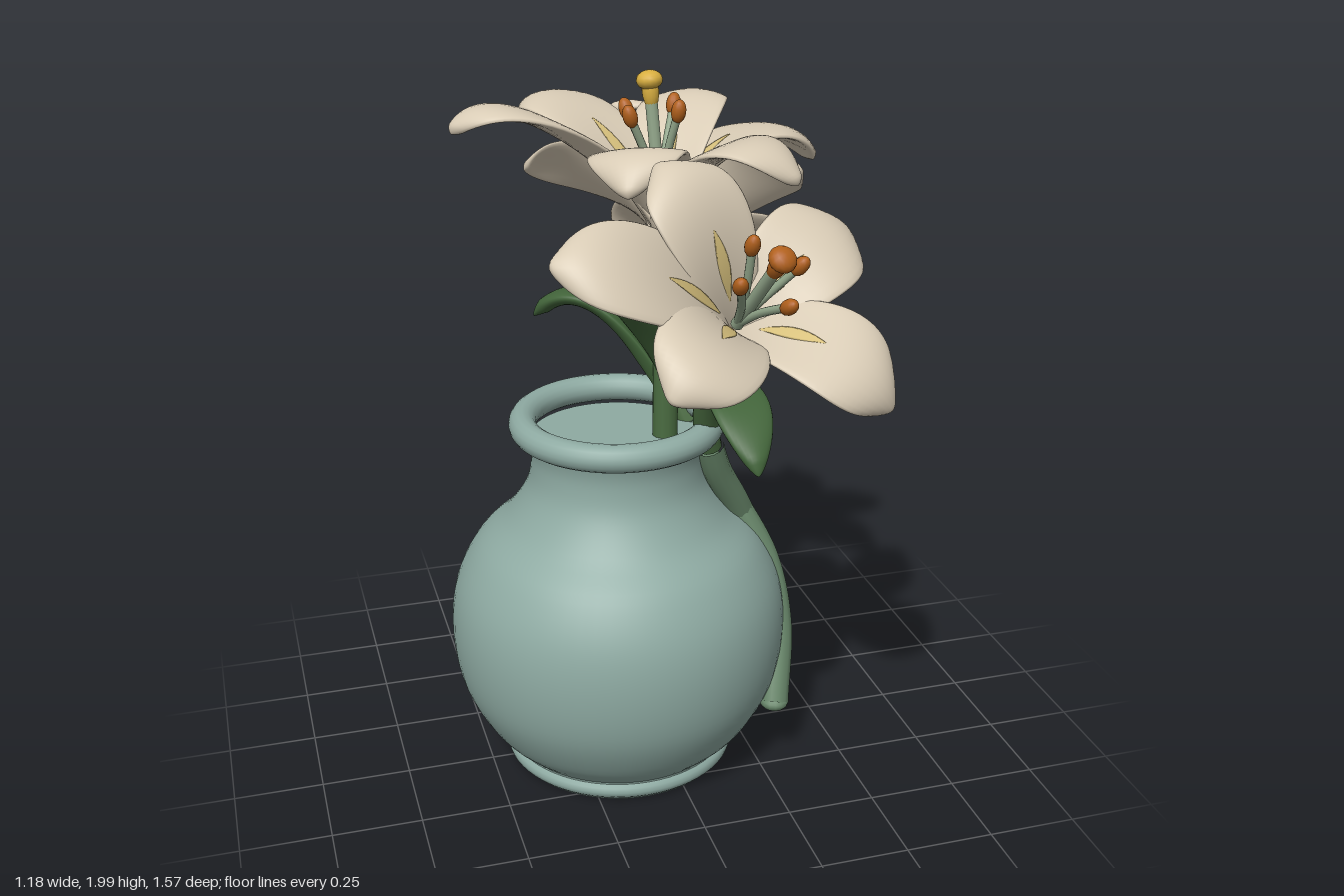
import * as THREE from 'three';

const V = (x, y, z) => new THREE.Vector3(x, y, z);
const mat = (name, color, side = THREE.FrontSide) => {
  const m = new THREE.MeshStandardMaterial({ color, side });
  m.name = name;
  return m;
};

// Lofts a thin curved blade along a curve; width(t) is its half width, cup(t) lifts its edges.
function bladeGeometry(curve, across, { width, cup, thick, t0 = 0, t1 = 1, lift = 0, rows = 32, cols = 12 }) {
  const pos = [], index = [], ring = cols * 2;
  for (let i = 0; i <= rows; i++) {
    // rows crowd towards the tip so that it stays round
    const t = t0 + (t1 - t0) * Math.sin(Math.PI / 2 * i / rows);
    const p = curve.getPoint(t), normal = curve.getTangent(t).cross(across).normalize();
    const w = width(t);
    for (let j = 0; j < ring; j++) {
      const top = j < cols;
      const u = -Math.cos(Math.PI * j / cols);
      const h = cup(t) * u * u + lift + (top ? 1 : -1) * thick * Math.sqrt(1 - u * u) * Math.min(1, w / 0.03);
      pos.push(...p.clone().addScaledVector(across, u * w).addScaledVector(normal, h).toArray());
      if (i < rows) {
        const a = i * ring + j, b = i * ring + (j + 1) % ring;
        index.push(a, a + ring, b, b, a + ring, b + ring);
      }
    }
  }
  const g = new THREE.BufferGeometry();
  g.setAttribute('position', new THREE.Float32BufferAttribute(pos, 3));
  g.setIndex(index);
  g.computeVertexNormals();
  return g;
}

export function createModel() {
  const model = new THREE.Group();
  const glaze = mat('vase glaze', 0x8eaaa2);
  const green = mat('stem green', 0x48693f);
  const paleStem = mat('pale stem green', 0x668468);
  const leafGreen = mat('leaf green', 0x42643a, THREE.DoubleSide);
  const cream = mat('petal cream', 0xd8cbb5, THREE.DoubleSide);
  const streak = mat('petal streak yellow', 0xd9c27e, THREE.DoubleSide);
  const filament = mat('filament green', 0x94a88c);
  const rust = mat('anther orange', 0xb0601c);
  const yellow = mat('stigma yellow', 0xd9af40);

  const add = (parent, name, geometry, material) => {
    const mesh = new THREE.Mesh(geometry, material);
    mesh.name = name;
    parent.add(mesh);
    return mesh;
  };
  const ball = (parent, name, p, dir, r, len, material) => {
    const m = add(parent, name, new THREE.SphereGeometry(1, 14, 10), material);
    m.scale.set(r, len, r);
    m.position.copy(p);
    m.quaternion.setFromUnitVectors(V(0, 1, 0), dir);
  };
  const tube = (parent, name, pts, r, material) =>
    add(parent, name, new THREE.TubeGeometry(new THREE.CatmullRomCurve3(pts), 40, r, 12), material);

  // Vase: round body, short neck, rolled rim and a shallow inside
  const vase = new THREE.Group();
  vase.name = 'vase';
  vase.position.x = -0.112;
  model.add(vase);
  const bodyLine = new THREE.SplineCurve([
    [0.325, 0.065], [0.395, 0.14], [0.46, 0.27], [0.482, 0.42], [0.465, 0.56], [0.405, 0.68],
    [0.315, 0.77], [0.258, 0.86], [0.241, 0.94], [0.248, 1.0], [0.265, 1.03],
  ].map(([x, y]) => new THREE.Vector2(x, y))).getPoints(50);
  add(vase, 'vaseBody', new THREE.LatheGeometry(bodyLine, 64), glaze);
  add(vase, 'vaseBase', new THREE.CylinderGeometry(0.325, 0.315, 0.065, 64).translate(0, 0.0375, 0), glaze);
  add(vase, 'footRing', new THREE.TorusGeometry(0.31, 0.026, 12, 64).rotateX(Math.PI / 2).translate(0, 0.036, 0), glaze);
  add(vase, 'rim', new THREE.TorusGeometry(0.262, 0.039, 16, 64).rotateX(Math.PI / 2).translate(0, 1.043, 0), glaze);
  add(vase, 'innerFloor', new THREE.CircleGeometry(0.246, 48).rotateX(-Math.PI / 2).translate(0, 1.0, 0), glaze);

  // Stems: two run down the outside of the vase, one rises from the mouth
  const stem = (name, pts, split) => {
    const all = new THREE.CatmullRomCurve3(pts.map(p => V(...p))).getPoints(60);
    const cut = all.findIndex(p => p.y > split);
    if (cut > 0) {
      tube(model, name + 'Lower', all.slice(0, cut + 1), 0.042, paleStem);
      ball(model, name + 'End', all[0], V(0, 1, 0), 0.042, 0.025, paleStem);
    }
    tube(model, name + 'Upper', all.slice(Math.max(cut, 0)), 0.036, green);
  };
  stem('frontStem', [[0.352, 0.215, -0.14], [0.34, 0.42, -0.06], [0.305, 0.6, 0], [0.225, 0.77, 0.05],
    [0.145, 0.92, 0.1], [0.1, 1.08, 0.15], [0.09, 1.25, 0.24], [0.09, 1.42, 0.37]], 0.97);
  stem('backStem', [[0.288, 0.215, 0.25], [0.325, 0.42, 0.16], [0.305, 0.6, 0.09], [0.225, 0.77, 0.03],
    [0.145, 0.92, -0.04], [0.1, 1.08, -0.11], [0.12, 1.25, -0.2], [0.15, 1.43, -0.36]], 0.97);
  stem('middleStem', [[0.02, 0.99, 0.03], [0.025, 1.2, 0.015], [0.03, 1.4, -0.01], [0.03, 1.62, -0.03]], 0);

  // Leaves: base, arch point, tip, half width
  [
    [[0.09, 1.13, 0.17], [0.1, 1.36, 0.38], [0.1, 1.1, 0.585], 0.082],
    [[0.03, 1.16, 0.02], [-0.04, 1.36, 0.1], [-0.18, 1.49, 0.14], 0.095],
    [[0.02, 1.12, 0], [-0.15, 1.5, -0.12], [-0.295, 1.3, -0.21], 0.06],
    [[0.11, 1.12, -0.13], [0.25, 1.4, -0.3], [0.365, 1.15, -0.455], 0.075],
    [[0.03, 1.18, 0.01], [0.14, 1.42, -0.1], [0.28, 1.44, -0.275], 0.06],
  ].forEach(([a, b, c, w]) => {
    const curve = new THREE.QuadraticBezierCurve3(V(...a), V(...b), V(...c));
    const across = V(0, 1, 0).cross(V(...c).sub(V(...a))).normalize();
    add(model, 'leaf', bladeGeometry(curve, across, {
      width: t => 0.02 * (1 - t) + (w - 0.01) * Math.max(0, Math.sin(Math.PI * Math.pow(t, 1.5))) ** 0.7,
      cup: t => 0.025 * (1 - t), thick: 0.022,
    }), leafGreen);
  });

  // Flowers: petals curve from the base to each tip, with stamens around the pistil
  const flower = (name, { base, pistil, tips, width, rise, stamens, stigma, spin }) => {
    const g = new THREE.Group();
    g.name = name;
    model.add(g);
    const p0 = V(...base), top = V(...pistil);
    const axis = top.clone().sub(p0), reach = axis.length();
    axis.normalize();
    tips.forEach(tip => {
      const end = V(...tip), out = end.clone().sub(p0);
      const across = axis.clone().cross(out).normalize();
      const radial = across.clone().cross(axis);
      const curve = new THREE.CubicBezierCurve3(p0,
        p0.clone().addScaledVector(axis, 0.19).addScaledVector(radial, 0.08),
        p0.clone().addScaledVector(out, 0.78).addScaledVector(axis, rise), end);
      const petalWidth = t => width * (0.28 * (1 - t) + Math.max(0, Math.sin(Math.PI * Math.pow(t, 1.4))) ** 0.62);
      add(g, 'petal', bladeGeometry(curve, across, {
        width: petalWidth, cup: t => petalWidth(t) * (0.45 - 0.75 * t), thick: 0.017,
      }), cream);
      add(g, 'petalStreak', bladeGeometry(curve, across, {
        width: t => 0.002 + 0.018 * Math.sin(Math.PI * (t - 0.2) / 0.3), cup: () => 0.002,
        thick: 0.004, lift: 0.017, t0: 0.2, t1: 0.5, rows: 10, cols: 4,
      }), streak);
    });
    // Pistil
    const throat = p0.clone().addScaledVector(axis, 0.08);
    tube(g, 'pistil', [throat, throat.clone().lerp(top, 0.5), top], 0.017, filament);
    ball(g, 'stigma', top.clone().addScaledVector(axis, -0.012), axis, 0.036, 0.026, stigma);
    ball(g, 'stigmaNeck', top.clone().addScaledVector(axis, -0.04), axis, 0.023, 0.05, stigma);
    // Stamens
    const side = V(1, 0, 0).cross(axis).normalize(), other = axis.clone().cross(side);
    for (let i = 0; i < stamens; i++) {
      const a = spin + i * Math.PI * 2 / stamens;
      const out = side.clone().multiplyScalar(Math.cos(a)).addScaledVector(other, Math.sin(a));
      const end = p0.clone().addScaledVector(axis, reach * 0.78).addScaledVector(out, 0.09);
      const mid = p0.clone().addScaledVector(axis, reach * 0.48).addScaledVector(out, 0.035);
      tube(g, 'filament', [throat, mid, end], 0.011, filament);
      ball(g, 'anther', end, axis.clone().addScaledVector(out, 0.3).normalize(), 0.02, 0.032, rust);
    }
  };
  flower('topFlower', {
    base: [0.03, 1.57, -0.03], pistil: [0, 1.985, -0.06], width: 0.115, rise: 0.24, stamens: 4, stigma: yellow, spin: 0.6,
    tips: [[-0.54, 1.88, 0.02], [-0.26, 1.82, -0.42], [0.25, 1.8, -0.41],
      [0.5, 1.71, -0.14], [0.3, 1.75, 0.27], [-0.15, 1.75, 0.28]],
  });
  flower('frontFlower', {
    base: [0.09, 1.38, 0.34], pistil: [0.14, 1.675, 0.61], width: 0.125, rise: 0.2, stamens: 4, stigma: rust, spin: 0.3,
    tips: [[-0.41, 1.67, 0.54], [-0.18, 1.39, 0.75], [0.42, 1.26, 0.63], [0.45, 1.6, 0.2], [-0.08, 1.82, 0.28]],
  });
  flower('backFlower', {
    base: [0.14, 1.39, -0.33], pistil: [0.31, 1.645, -0.575], width: 0.12, rise: 0.2, stamens: 4, stigma: yellow, spin: 0.9,
    tips: [[-0.2, 1.58, -0.75], [0.13, 1.29, -0.77], [0.57, 1.26, -0.4], [0.47, 1.66, -0.17], [0, 1.82, -0.43]],
  });
  return model;
}
